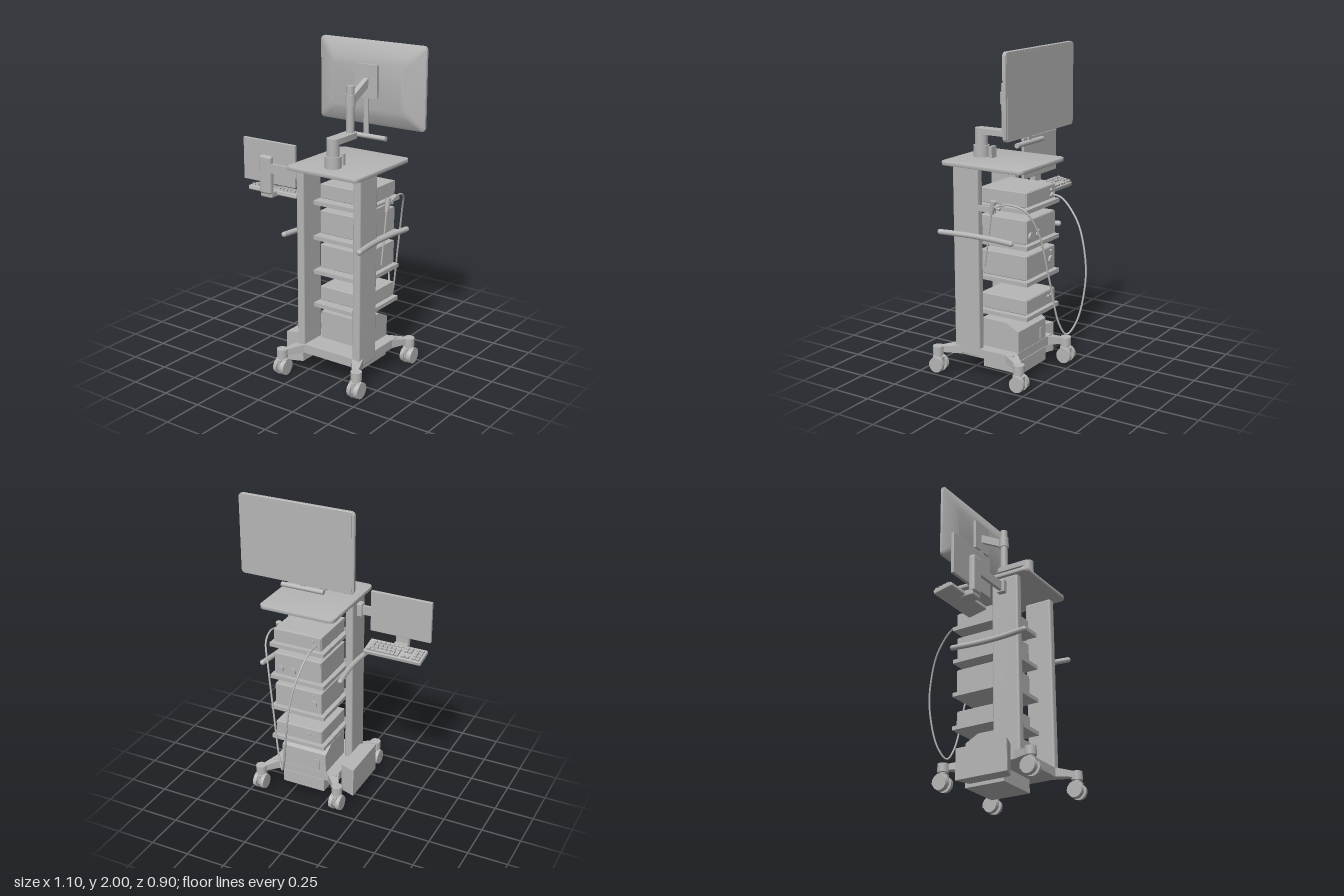
import * as THREE from 'three';
import { toCreasedNormals } from 'three/addons/utils/BufferGeometryUtils.js';
import { RoundedBoxGeometry } from 'three/addons/geometries/RoundedBoxGeometry.js';
import { ConvexGeometry } from 'three/addons/geometries/ConvexGeometry.js';

const grey = new THREE.MeshStandardMaterial({ color: 0xb6b6b6 });
grey.name = 'light grey';
const V = (x, y, z) => new THREE.Vector3(x, y, z);

export function createModel() {
  const root = new THREE.Group();
  root.name = 'equipmentCart';
  const CX = 0.175; // centre line of the cart

  const add = (name, geo, parent = root) => {
    const m = new THREE.Mesh(geo, grey);
    m.name = name;
    parent.add(m);
    return m;
  };
  // Box given by its limits, optionally with rounded edges
  const box = (name, x0, x1, y0, y1, z0, z1, r = 0, parent = root) => {
    const s = [x1 - x0, y1 - y0, z1 - z0];
    const geo = r ? new RoundedBoxGeometry(...s, 3, r) : new THREE.BoxGeometry(...s);
    const m = add(name, geo, parent);
    m.position.set((x0 + x1) / 2, (y0 + y1) / 2, (z0 + z1) / 2);
    return m;
  };
  // Cylinder between two points
  const rod = (name, a, b, r, parent = root, r2 = r) => {
    const d = b.clone().sub(a);
    const m = add(name, new THREE.CylinderGeometry(r2, r, d.length(), 24), parent);
    m.position.copy(a).addScaledVector(d, 0.5);
    m.quaternion.setFromUnitVectors(V(0, 1, 0), d.normalize());
    return m;
  };
  const tube = (name, pts, r, seg = 80) =>
    add(name, new THREE.TubeGeometry(new THREE.CatmullRomCurve3(pts), seg, r, 10));
  const hull = (name, pts, crease = 0.3) => add(name, toCreasedNormals(new ConvexGeometry(pts), crease));
  const roundRect = (x0, x1, y0, y1, r) => {
    const s = new THREE.Shape();
    s.absarc(x1 - r, y1 - r, r, 0, Math.PI / 2);
    s.absarc(x0 + r, y1 - r, r, Math.PI / 2, Math.PI);
    s.absarc(x0 + r, y0 + r, r, Math.PI, Math.PI * 1.5);
    s.absarc(x1 - r, y0 + r, r, Math.PI * 1.5, Math.PI * 2);
    s.closePath();
    return s;
  };

  // Base frame, with an enclosure hung below
  box('base', -0.055, 0.4, 0.13, 0.185, -0.115, 0.3);
  box('underBaseBox', 0.03, 0.32, 0.045, 0.13, -0.12, 0.145);

  // Four legs with twin-wheel casters
  for (const sx of [-1, 1]) for (const [cz, sz] of [[0.395, 1], [-0.19, -1]]) {
    const cx = CX + sx * 0.272;
    const bx = CX + sx * 0.225, bz = sz > 0 ? 0.3 : -0.115;
    const pts = [];
    for (const [y0, y1, x, z, w] of [[0.13, 0.185, bx, bz, 0.05], [0.13, 0.165, cx, cz, 0.022]])
      for (const y of [y0, y1]) {
        pts.push(V(x - sx * w, y, z + sz * 0.005), V(x, y, z - sz * w));
      }
    hull('leg', pts);
    const caster = new THREE.Group();
    caster.name = 'caster';
    caster.position.set(cx, 0, cz);
    root.add(caster);
    rod('casterSocket', V(0, 0.115, 0), V(0, 0.168, 0), 0.034, caster);
    rod('casterStem', V(0, 0.06, 0), V(0, 0.12, 0), 0.02, caster);
    box('casterFork', -0.012, 0.012, 0.04, 0.1, -0.035, 0.035, 0, caster);
    for (const s of [-1, 1]) {
      rod('wheel', V(s * 0.012, 0.05, 0), V(s * 0.038, 0.05, 0), 0.05, caster, 0.046);
      const hood = add('wheelHood', new THREE.CylinderGeometry(0.053, 0.053, 0.024, 20, 1, false, -0.3, 2.2), caster);
      hood.material = grey;
      hood.rotation.z = Math.PI / 2;
      hood.rotation.x = -Math.PI / 2;
      hood.scale.setScalar(0.98);
      hood.position.set(s * 0.026, 0.052, 0);
    }
  }

  // Side posts and bowed handles
  for (const s of [-1, 1]) {
    const a = CX + s * 0.175, b = CX + s * 0.227;
    box('post', Math.min(a, b), Math.max(a, b), 0.13, 1.3, 0.12, 0.3, 0.012);
    const hx = d => CX + s * d;
    tube('handle', [V(hx(0.268), 0.895, 0.365), V(hx(0.25), 0.895, 0.23),
      V(hx(0.245), 0.895, 0.11), V(hx(0.25), 0.895, 0), V(hx(0.268), 0.895, -0.135)], 0.017, 30);
    for (const z of [0.365, -0.135])
      add('handleEnd', new THREE.SphereGeometry(0.017, 14, 10)).position.set(hx(0.268), 0.895, z);
  }

  // Table top
  const top = add('tableTop', toCreasedNormals(new THREE.ExtrudeGeometry(
    roundRect(-0.072, 0.425, -0.375, 0.195, 0.035),
    { depth: 0.017, bevelEnabled: true, bevelThickness: 0.004, bevelSize: 0.004, bevelOffset: -0.004, bevelSegments: 2, curveSegments: 8 }), 0.5));
  top.rotation.x = -Math.PI / 2;
  top.position.y = 1.3;

  // Shelves, each carrying an instrument
  for (const [y, h] of [[1.08, 0.095], [0.86, 0.15], [0.642, 0.153], [0.428, 0.097]]) {
    box('shelf', -0.008, 0.358, y - 0.025, y, -0.19, 0.2);
    box('instrument', 0.015, 0.335, y + 0.006, y + h, -0.168, 0.15, 0.004);
    box('instrumentPanel', 0.018, 0.332, y + 0.01, y + h - 0.004, -0.175, -0.167);
    for (const x of [0.04, 0.31]) box('instrumentFoot', x - 0.015, x + 0.015, y, y + 0.007, -0.15, 0.13);
  }
  // Knobs and sockets on the instrument panels: x, y, radius
  for (const [x, y, r] of [[0.07, 1.145, 0.009], [0.07, 1.11, 0.009], [0.295, 0.91, 0.024], [0.21, 0.91, 0.024],
    [0.07, 0.715, 0.024], [0.07, 0.77, 0.008], [0.1, 0.49, 0.009], [0.065, 0.49, 0.009], [0.055, 1.115, 0.012]])
    rod('knob', V(x, y, -0.17), V(x, y, -0.188), r);

  // Bottom unit with a sloping top edge
  const unit = [];
  for (const x of [0.02, 0.33]) for (const [y, z] of [[0.185, 0.15], [0.36, 0.15], [0.36, -0.025], [0.315, -0.112], [0.185, -0.112]])
    unit.push(V(x, y, z));
  hull('bottomUnit', unit);
  box('bottomUnitSwitch', 0.06, 0.09, 0.2, 0.27, -0.118, -0.11);

  // Flared pocket on the lower side
  const pocket = [];
  for (const y of [0.035, 0.225]) for (const [x, z0, z1] of [[-0.153, -0.068, 0.275], [-0.143, -0.068, 0.275], [-0.055, -0.035, 0.24]])
    pocket.push(V(x, y, z0), V(x, y, z1));
  hull('sidePocket', pocket);

  // Monitor arm
  rod('armBase', V(CX, 1.315, 0.245), V(CX, 1.39, 0.245), 0.049);
  rod('armPivot', V(CX, 1.39, 0.245), V(CX, 1.47, 0.245), 0.038);
  const link = add('lowerArm', toCreasedNormals(new THREE.ExtrudeGeometry(
    roundRect(CX - 0.038, CX + 0.038, -0.283, -0.03, 0.0375), { depth: 0.035, bevelEnabled: false, curveSegments: 8 }), 0.5));
  link.rotation.x = -Math.PI / 2;
  link.position.y = 1.46;
  rod('armPost', V(CX, 1.49, 0.073), V(CX, 1.77, 0.073), 0.024);
  rod('armCollar', V(CX, 1.65, 0.073), V(CX, 1.72, 0.073), 0.031);
  hull('upperArm', [-0.016, 0.016].flatMap(d => [[1.655, 0.06], [1.71, 0.06], [1.735, -0.09], [1.79, -0.09]]
    .map(([y, z]) => V(CX + d, y, z))));
  box('mountPlate', 0.095, 0.252, 1.67, 1.87, -0.118, -0.088);
  box('barHanger', 0.16, 0.19, 1.44, 1.7, -0.1, -0.09);
  rod('pullBar', V(0.035, 1.44, -0.095), V(0.315, 1.44, -0.095), 0.015);
  box('cableGuide', 0.15, 0.2, 1.315, 1.39, 0.155, 0.178);

  // Main monitor: rounded slab tapering towards its mount
  const rings = [];
  for (const [z, i, r] of [[-0.172, 0.003, 0.022], [-0.168, 0, 0.025], [-0.152, 0, 0.025], [-0.143, 0.015, 0.025], [-0.125, 0.065, 0.03], [-0.108, 0.115, 0.03]])
    for (const p of roundRect(-0.195 + i, 0.545 - i, 1.5 + i * 0.85, 2 - i, r).getPoints(5)) rings.push(V(p.x, p.y, z));
  hull('monitorShell', rings, 0.5);
  box('monitorScreen', -0.18, 0.53, 1.517, 1.985, -0.174, -0.17);

  // Side display with its bracket and arm
  box('sideDisplay', -0.55, -0.155, 1.12, 1.385, 0.155, 0.175, 0.003);
  box('displayBracket', -0.4, -0.312, 1.06, 1.3, 0.174, 0.216, 0.015);
  box('trayBracket', -0.4, -0.312, 1.035, 1.075, 0.1, 0.205, 0.01);
  box('sideArm', -0.33, -0.06, 1.197, 1.255, 0.19, 0.21);
  box('armClamp', -0.085, -0.05, 1.185, 1.27, 0.175, 0.225, 0.006);

  // Tilted keyboard
  const kb = new THREE.Group();
  kb.name = 'keyboard';
  kb.position.set(-0.352, 1.048, 0.09);
  kb.rotation.x = -0.2;
  root.add(kb);
  box('keyboardBody', -0.187, 0.187, -0.015, 0.015, -0.063, 0.063, 0.008, kb);
  const key = (x, z, w = 0.021, d = 0.019) => box('key', x - w / 2, x + w / 2, 0.012, 0.027, z - d / 2, z + d / 2, 0, kb);
  const rows = [-0.046, -0.02, 0.005, 0.03];
  rows.forEach((z, i) => {
    for (const x of [-0.164, -0.137]) key(x, z);
    if (i !== 1) for (const x of [-0.097, -0.069]) key(x, z);
    if (i > 1) key(-0.027, z);
    if (i === 0) {
      key(0.062, z, 0.1);
      for (const x of [0, 0.13, 0.158]) key(x, z);
    } else for (let k = 0; k < 6; k++) key(0.008 + k * 0.028 - (i % 2) * 0.006, z);
  });
  key(-0.027, -0.033, 0.021, 0.046);

  // Looping cable from the top instrument to the handpiece
  tube('cable', [V(0.055, 1.115, -0.18), V(0.06, 1.1, -0.25), V(0.08, 0.98, -0.365), V(0.1, 0.82, -0.425), V(0.115, 0.64, -0.445),
    V(0.155, 0.39, -0.41), V(0.195, 0.312, -0.365), V(0.23, 0.38, -0.335), V(0.285, 0.68, -0.295),
    V(0.335, 0.95, -0.255), V(0.38, 1.08, -0.195), V(0.4, 1.11, -0.1), V(0.405, 1.09, -0.01)], 0.006, 140);

  // Handpiece in its holder
  rod('handpieceGrip', V(0.403, 1.04, 0.025), V(0.403, 1.12, 0.008), 0.013, root, 0.018);
  rod('handpieceShaft', V(0.403, 0.72, 0.073), V(0.403, 1.05, 0.023), 0.005);
  rod('handpieceNozzle', V(0.403, 1.09, 0.01), V(0.403, 1.075, -0.035), 0.009);
  box('handpieceHolder', 0.385, 0.398, 1.045, 1.08, 0.005, 0.13);

  return root;
}
